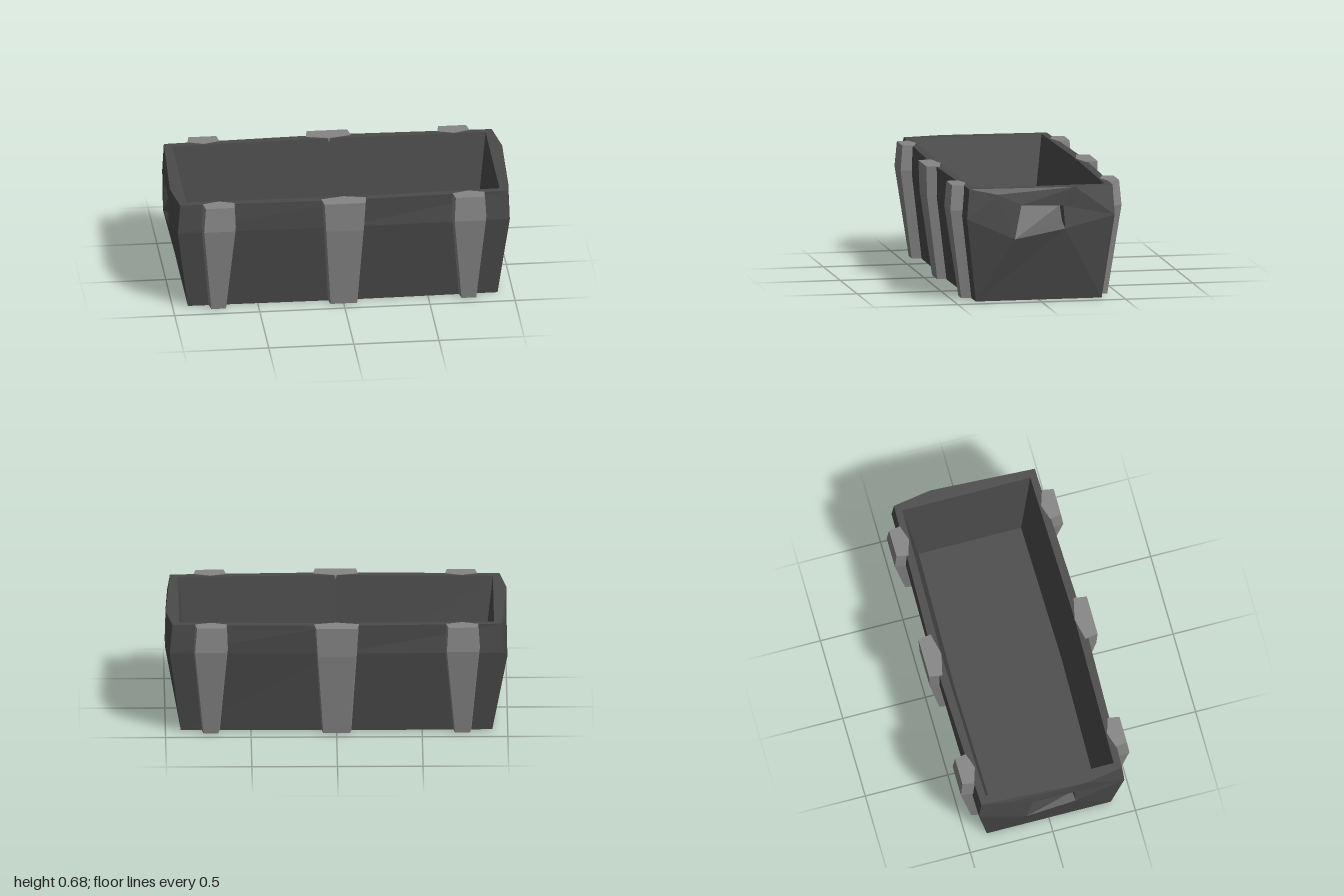
import * as THREE from 'three';

const bodyMat = new THREE.MeshStandardMaterial({ color: 0x4a4a4a, flatShading: true });
const ribMat = new THREE.MeshStandardMaterial({ color: 0x858585, flatShading: true });

// Faceted geometry from convex polygons, each a list of corners
function facets(polygons) {
  const pos = [];
  for (const poly of polygons) {
    for (let i = 1; i < poly.length - 1; i++) pos.push(...poly[0], ...poly[i], ...poly[i + 1]);
  }
  const g = new THREE.BufferGeometry();
  g.setAttribute('position', new THREE.Float32BufferAttribute(pos, 3));
  g.computeVertexNormals();
  return g;
}

// Half of the trough: the +x end and the front wall. A primed name is the
// same point turned half way round the y axis.
const P = {
  // outer corners: bottom, shoulder, rim
  a: [0.91, 0, 0.375], b: [0.91, 0, -0.375],
  c: [0.975, 0.5, 0.44], d: [0.975, 0.5, -0.44],
  e: [0.967, 0.675, 0.425], f: [0.96, 0.675, -0.43],
  // chipped rim of the end
  g: [0.985, 0.64, 0.26], h: [0.997, 0.675, -0.2],
  // mouth of the hand hold, and its sunken panel
  p: [0.995, 0.575, 0.12], q: [0.995, 0.565, -0.13],
  r: [1, 0.43, -0.14], s: [1, 0.375, 0.16],
  x: [0.935, 0.57, 0.11], y: [0.935, 0.56, -0.12], z: [0.955, 0.47, -0.13],
  // middle of the front wall
  t: [0, 0, 0.385], u: [0, 0.5, 0.45], m: [0, 0.675, 0.455],
  // inner rim and floor
  k: [0.92, 0.675, 0.385], l: [0.92, 0.675, -0.39], n: [0, 0.675, 0.405],
  K: [0.85, 0.06, 0.31], L: [0.85, 0.06, -0.31], N: [0, 0.06, 0.325],
};
const halfFaces = [
  // end wall
  'a b r', 'a r s', 'b d r', 'd q r', 'd h q', 'd f h', 'h p q', 'h g p',
  'g s p', 'g c s', 'c a s', 'g e c', 'h e g',
  // hand hold
  's z y x', 'x y q p', 's r z', 's x p', 'y z r q',
  // front wall
  "b' t u d'", "d' u m f'", 't a c u', 'u c e m',
  // rim
  'k e h', 'k h f', 'k f l', "l' f' m n", 'n m e k',
  // inside walls, floor and underside
  'L K k l', 'K N n k', "N L' l' n", "N K L N'", "t' b a t",
];

function makeBody() {
  const turn = ([x, y, z]) => [-x, y, -z];
  const point = (name) => (name.length > 1 ? turn(P[name[0]]) : P[name]);
  const half = halfFaces.map((face) => face.split(' ').map(point));
  return facets([...half, ...half.map((poly) => poly.map(turn))]);
}

// Rib lofted through five-sided sections: [y, left, right, front z, back z]
function makeRib(levels) {
  const rings = levels.map(([y, x0, x1, zf, zb]) => [
    [x0, y, zb], [x0 + 0.012, y, zf], [x1 - 0.012, y, zf], [x1, y, zb],
    [(x0 + x1) / 2, y, zb - 0.03],
  ]);
  const faces = [[...rings[0]].reverse(), rings[rings.length - 1]];
  for (let i = 0; i < rings.length - 1; i++) {
    for (let j = 0; j < 5; j++) {
      const k = (j + 1) % 5;
      faces.push([rings[i][j], rings[i][k], rings[i + 1][k], rings[i + 1][j]]);
    }
  }
  return facets(faces);
}

const centreRib = [
  [0.001, -0.09, 0.09, 0.437, 0.365],
  [0.5, -0.122, 0.122, 0.505, 0.425],
  [0.677, -0.132, 0.132, 0.51, 0.433],
];
const sideRib = [
  [0.001, 0.68, 0.79, 0.435, 0.365],
  [0.53, 0.632, 0.84, 0.51, 0.422],
  [0.677, 0.64, 0.828, 0.498, 0.43],
];
// Swap and negate left and right for the -x copy
const mirrored = (levels) => levels.map(([y, x0, x1, zf, zb]) => [y, -x1, -x0, zf, zb]);

export function createModel() {
  const model = new THREE.Group();
  model.name = 'trough';

  const body = new THREE.Mesh(makeBody(), bodyMat);
  body.name = 'body';
  model.add(body);

  // Three ribs on the front, the same three on the back
  const ribs = { centreRib, leftRib: sideRib, rightRib: mirrored(sideRib) };
  for (const side of ['front', 'back']) {
    const group = new THREE.Group();
    group.name = side + 'Ribs';
    for (const [name, levels] of Object.entries(ribs)) {
      const rib = new THREE.Mesh(makeRib(levels), ribMat);
      rib.name = name;
      group.add(rib);
    }
    if (side === 'back') group.rotation.y = Math.PI;
    model.add(group);
  }
  return model;
}
